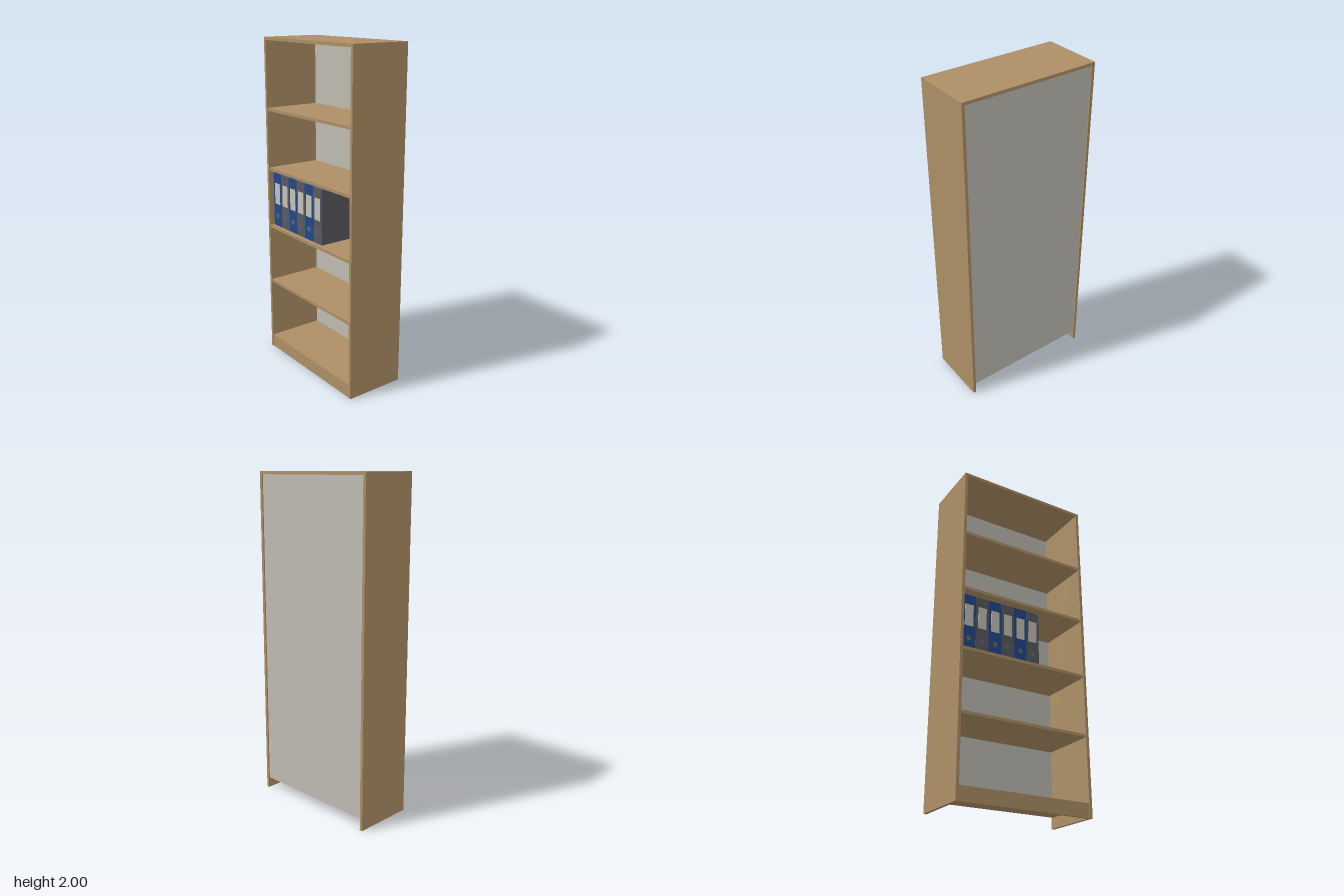
import * as THREE from 'three';

const material = (name, color) => {
  const m = new THREE.MeshStandardMaterial({ color });
  m.name = name;
  return m;
};

export function createModel() {
  const wood = material('wood', 0xad8f65);
  const backing = material('backing', 0xbebbb2);
  const blue = material('blue', 0x21478a);
  const grey = material('grey', 0x57595f);
  const paper = material('label', 0xc4c1b6);
  const metal = material('ring', 0x63656a);

  const model = new THREE.Group();
  model.name = 'bookcase';

  const W = 0.84, H = 2, D = 0.37, T = 0.018;
  const inner = W - 2 * T;

  // Box given by its size and by its centre in x and z and its base in y
  const box = (parent, name, mat, w, h, d, x, y, z) => {
    const mesh = new THREE.Mesh(new THREE.BoxGeometry(w, h, d), mat);
    mesh.name = name;
    mesh.position.set(x, y + h / 2, z);
    parent.add(mesh);
    return mesh;
  };

  // Case
  for (const s of [-1, 1]) {
    box(model, s > 0 ? 'leftSide' : 'rightSide', wood, T, H, D, s * (W - T) / 2, 0, 0);
  }
  box(model, 'top', wood, inner, T, D, 0, H - T, 0);
  const backZ = -D / 2 + 0.01;
  box(model, 'backPanel', backing, inner, H - T - 0.066, 0.006, 0, 0.066, backZ);

  // Shelves and kick board, just behind the front edges
  const shelfFront = D / 2 - 0.004, shelfBack = backZ + 0.003;
  for (const y of [0.064, 0.459, 0.827, 1.198, 1.566]) {
    box(model, 'shelf', wood, inner, T, shelfFront - shelfBack, 0, y, (shelfFront + shelfBack) / 2);
  }
  box(model, 'kickBoard', wood, inner, 0.064, T, 0, 0, shelfFront - T / 2);

  // Row of ring binders
  const pitch = 0.0842, bw = 0.0835, bh = 0.336, bd = 0.305, front = 0.155;
  for (let i = 0; i < 6; i++) {
    const binder = new THREE.Group();
    binder.name = 'binder';
    binder.position.set(-0.397 + pitch * (i + 0.5), 0.845, 0);
    box(binder, 'cover', i % 2 ? grey : blue, bw, bh, bd, 0, 0, front - bd / 2);
    box(binder, 'spineLabel', paper, 0.054, 0.133, 0.002, 0, 0.142, front + 0.0005);
    const ring = new THREE.Mesh(new THREE.CylinderGeometry(0.015, 0.015, 0.003, 24), metal);
    ring.name = 'fingerRing';
    ring.rotation.x = Math.PI / 2;
    ring.position.set(0, 0.067, front + 0.0005);
    binder.add(ring);
    model.add(binder);
  }

  return model;
}
